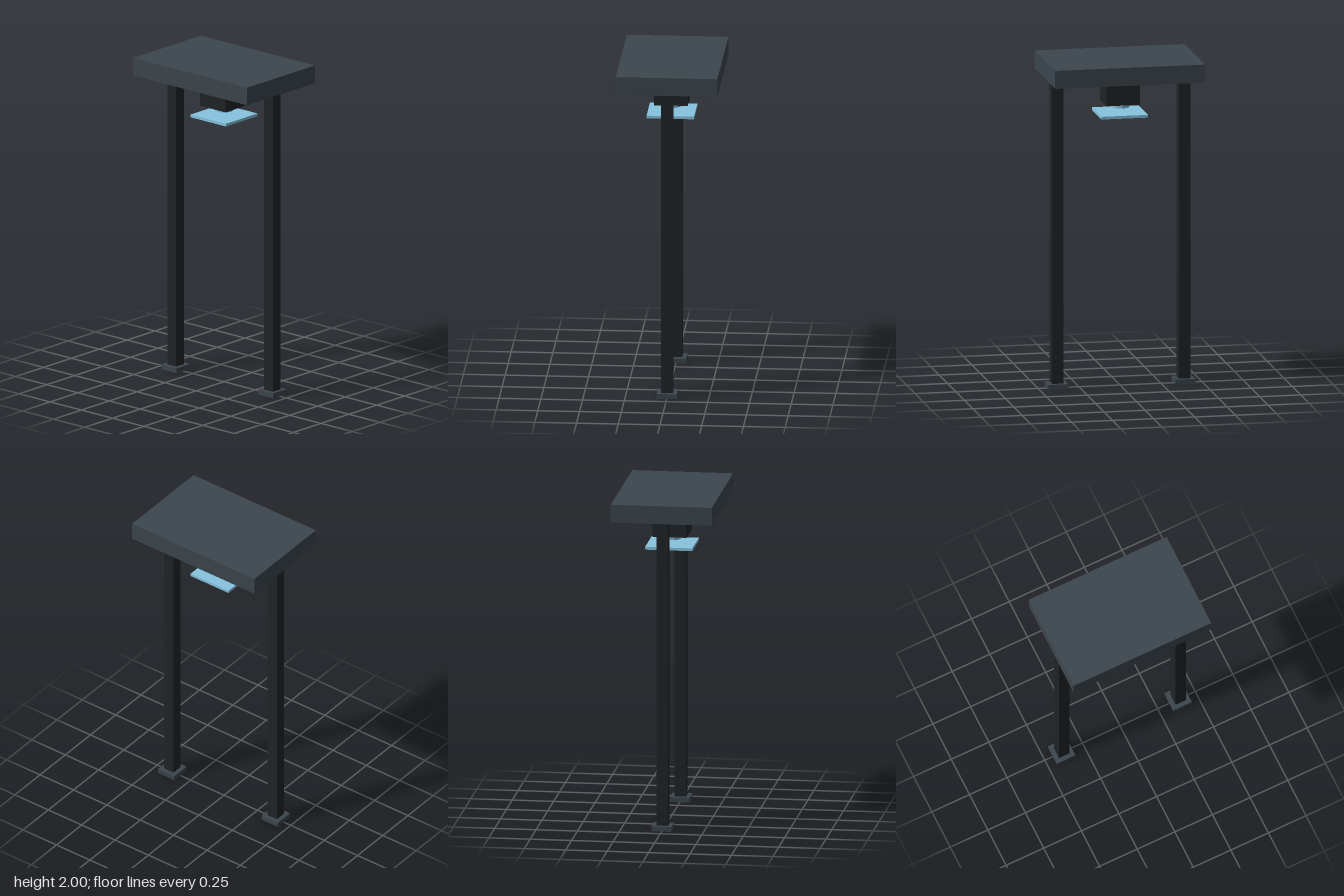
import * as THREE from 'three';

const mat = (color) => new THREE.MeshStandardMaterial({ color, flatShading: true });

export function createModel() {
  const model = new THREE.Group();
  const slate = mat(0x3c464d);
  const black = mat(0x202427);
  const blue = mat(0x87c4e0);

  const add = (name, geometry, material, x, y, z = 0) => {
    const mesh = new THREE.Mesh(geometry, material);
    mesh.name = name;
    mesh.position.set(x, y, z);
    model.add(mesh);
  };
  // Box given by its bottom and top heights
  const box = (name, w, y0, y1, d, material, x = 0) =>
    add(name, new THREE.BoxGeometry(w, y1 - y0, d), material, x, (y0 + y1) / 2);

  // Overhead slab
  box('topSlab', 0.916, 1.89, 2, 0.61, slate);

  // Two posts, each through a square foot
  for (const [side, x] of [['left', 0.387], ['right', -0.387]]) {
    box(side + 'Post', 0.07, 0, 1.89, 0.07, black, x);
    box(side + 'Foot', 0.122, 0.001, 0.031, 0.122, slate, x);
  }

  // Hanging housing with a lens and a glass plate below
  box('housing', 0.204, 1.727, 1.89, 0.204, black);
  add('lens', new THREE.CylinderGeometry(0.057, 0.057, 0.017, 16), blue, 0, 1.708);
  box('glassPlate', 0.285, 1.656, 1.673, 0.285, blue);

  return model;
}
